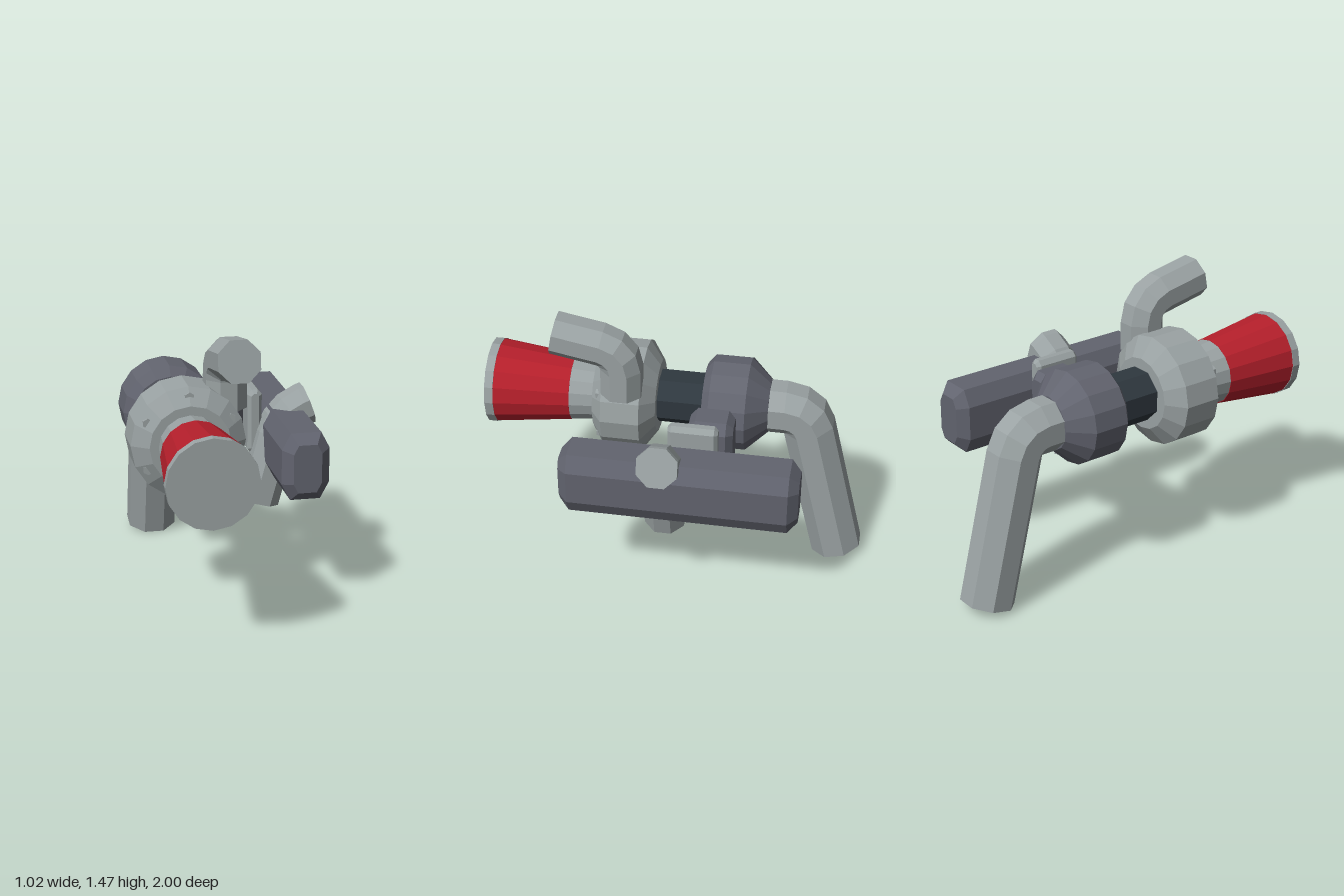
import * as THREE from 'three';

const mat = (name, color) => Object.assign(new THREE.MeshStandardMaterial({ color }), { name });
const V = (x, y, z) => new THREE.Vector3(x, y, z);

export function createModel() {
  const steel = mat('light steel', 0x9aa2a3);
  const iron = mat('dark iron', 0x62646f);
  const black = mat('blackened core', 0x2f383f);
  const red = mat('red sleeve', 0xb51f2b);
  const group = new THREE.Group();
  const AX = -0.225, AY = 0.905; // main axis, running along z

  // Faceted mesh: every face gets its own normal
  function add(name, geometry, material) {
    const g = geometry.index ? geometry.toNonIndexed() : geometry;
    g.computeVertexNormals();
    const mesh = new THREE.Mesh(g, material);
    mesh.name = name;
    group.add(mesh);
    return mesh;
  }

  // Turned part on the main axis, from [radius, z] pairs running back to front
  function turned(name, profile, material, sides = 16, turn = 0) {
    const pts = profile.map(([r, z]) => new THREE.Vector2(r, z));
    const g = new THREE.LatheGeometry(pts, sides, turn);
    g.rotateX(Math.PI / 2);
    g.translate(AX, AY, 0);
    return add(name, g, material);
  }

  // Octagonal pipe with one round bend at the corner; 'apothem' is half its flat-to-flat width
  function pipe(name, start, corner, end, tangentLength, apothem, material) {
    const sides = 8, steps = 3, r = apothem / Math.cos(Math.PI / sides);
    const d1 = corner.clone().sub(start).normalize();
    const d2 = end.clone().sub(corner).normalize();
    const angle = d1.angleTo(d2), R = tangentLength / Math.tan(angle / 2);
    const n = d2.clone().addScaledVector(d1, -d1.dot(d2)).normalize();
    const N = d1.clone().cross(n);
    const centre = corner.clone().addScaledVector(d1, -tangentLength).addScaledVector(n, R);
    const rings = [[start, d1]];
    for (let i = 0; i <= steps; i++) {
      const s = angle * i / steps;
      rings.push([
        centre.clone().addScaledVector(n, -R * Math.cos(s)).addScaledVector(d1, R * Math.sin(s)),
        d1.clone().multiplyScalar(Math.cos(s)).addScaledVector(n, Math.sin(s)),
      ]);
    }
    rings.push([end, d2]);
    const pos = [], idx = [];
    for (const [p, t] of rings) {
      const B = t.clone().cross(N);
      for (let j = 0; j < sides; j++) {
        const a = (j + 0.5) / sides * Math.PI * 2;
        pos.push(...p.clone().addScaledVector(N, r * Math.cos(a)).addScaledVector(B, r * Math.sin(a)).toArray());
      }
    }
    const last = (rings.length - 1) * sides, c0 = rings.length * sides;
    pos.push(...start.toArray(), ...end.toArray());
    for (let j = 0; j < sides; j++) {
      const k = (j + 1) % sides;
      for (let o = 0; o < last; o += sides) {
        idx.push(o + j, o + k, o + sides + k, o + j, o + sides + k, o + sides + j);
      }
      idx.push(c0, k, j, c0 + 1, last + j, last + k);
    }
    const g = new THREE.BufferGeometry();
    g.setAttribute('position', new THREE.Float32BufferAttribute(pos, 3));
    g.setIndex(idx);
    return add(name, g, material);
  }

  // Block with chamfered long edges (cx, cy) and bevelled ends
  function block(name, [x0, x1], [y0, y1], [z0, z1], cx, cy, bevel, material) {
    const shape = new THREE.Shape([
      [x0 + cx, y0], [x1 - cx, y0], [x1, y0 + cy], [x1, y1 - cy],
      [x1 - cx, y1], [x0 + cx, y1], [x0, y1 - cy], [x0, y0 + cy],
    ].map(([x, y]) => new THREE.Vector2(x, y)));
    const g = new THREE.ExtrudeGeometry(shape, {
      depth: z1 - z0 - 2 * bevel, bevelEnabled: true, bevelSegments: 1,
      bevelThickness: bevel, bevelSize: bevel, bevelOffset: -bevel,
    });
    g.translate(0, 0, z0 + bevel);
    return add(name, g, material);
  }

  // Intake funnel with red sleeve and front lip
  turned('intakeCone', [[0, 0.38], [0.155, 0.38], [0.212, 0.96], [0, 0.96]], steel);
  turned('redSleeve', [[0.15, 0.56], [0.175, 0.56], [0.222, 0.955], [0.15, 0.955]], red);
  turned('frontLip', [[0, 0.955], [0.225, 0.955], [0.225, 1], [0, 1]], steel);

  // Front housing, core and rear housing
  turned('frontHousing',
    [[0, 0.1], [0.19, 0.1], [0.29, 0.17], [0.29, 0.37], [0.205, 0.43], [0, 0.43]], steel);
  turned('core', [[0, -0.2], [0.141, -0.2], [0.141, 0.15], [0, 0.15]], black, 8, Math.PI / 8);
  turned('rearHousing',
    [[0, -0.48], [0.14, -0.48], [0.245, -0.37], [0.245, -0.18], [0.195, -0.14], [0, -0.14]], iron);

  // Six bolts on the front chamfer
  for (let i = 0; i < 6; i++) {
    const a = Math.PI / 2 + i * Math.PI / 3;
    const g = new THREE.CylinderGeometry(0.026, 0.026, 0.04, 6);
    g.rotateX(Math.PI / 2);
    g.translate(AX + 0.24 * Math.cos(a), AY + 0.24 * Math.sin(a), 0.382);
    add('bolt', g, steel);
  }

  // Pipes
  pipe('exhaustPipe', V(AX, AY, -0.45), V(AX, AY, -0.665), V(AX, 0.033, -0.875), 0.1, 0.13, steel);
  pipe('outletPipe', V(-0.021, 1.05, 0.265), V(-0.021, 1.308, 0.265), V(-0.021, 1.373, 0.61), 0.105, 0.104, steel);
  pipe('sidePipe', V(0.213, 0.443, 0), V(0.339, 0.913, 0), V(0.475, 0.962, 0), 0.115, 0.103, steel);

  // Side bracket, thin plate and long bar
  block('bracket', [-0.03, 0.163], [0.73, 1.015], [-0.33, -0.1], 0.038, 0.055, 0.035, iron);
  block('plate', [0.16, 0.236], [0.69, 1.037], [-0.265, -0.01], 0.022, 0.025, 0.018, steel);
  block('bar', [0.227, 0.471], [0.6, 0.95], [-0.7, 0.515], 0.045, 0.085, 0.05, iron);

  return group;
}
